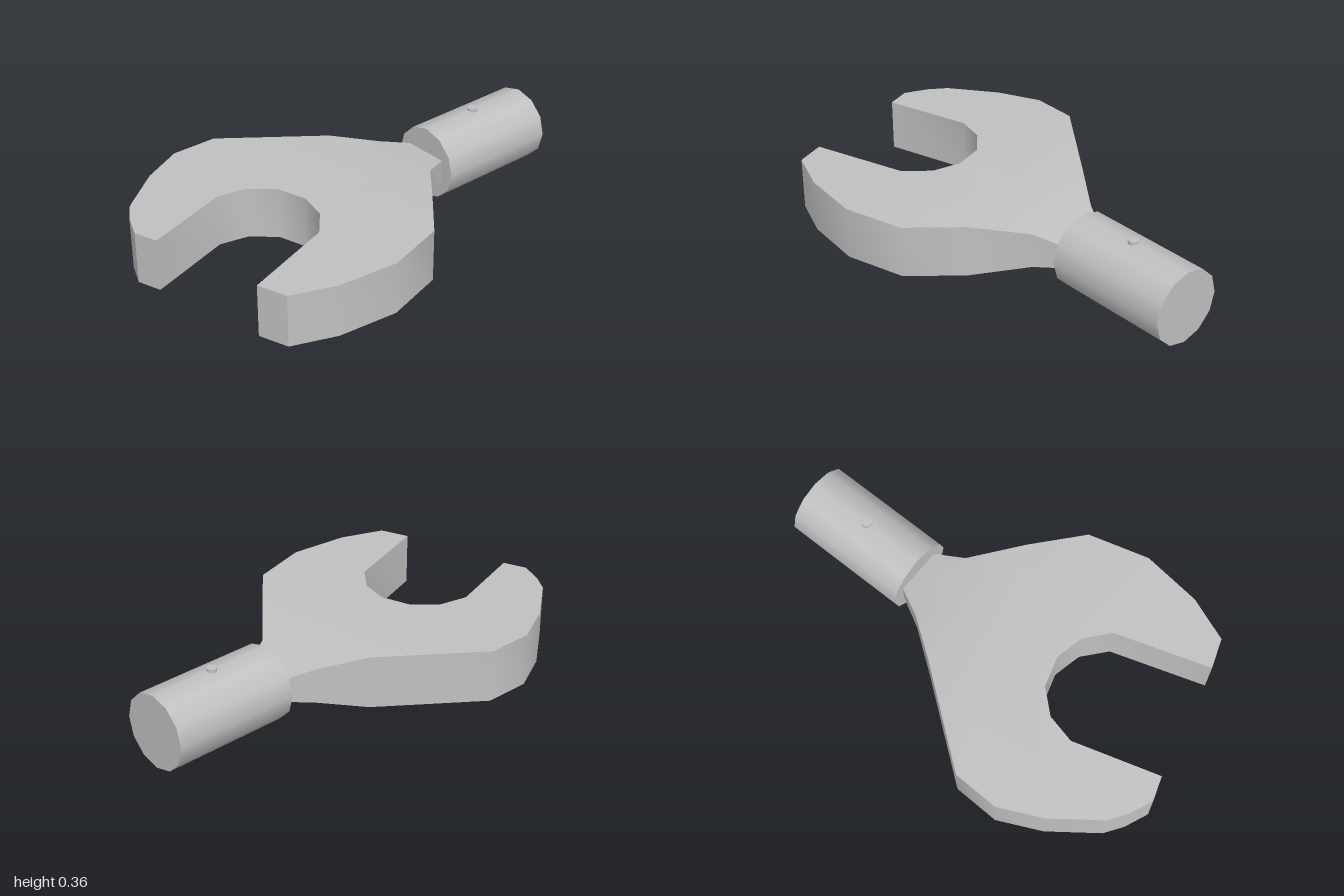
import * as THREE from 'three';
import { mergeGeometries, toCreasedNormals } from 'three/addons/utils/BufferGeometryUtils.js';

const MID = 0.18;      // height of the centre plane
const HALF = 0.12;     // half thickness of the jaws
const BEND = 0.11;     // x where the neck starts to thin
const NECK_END = 0.425;

// Vertical slab from an outline of [x, z] points
function slab(points) {
  const shape = new THREE.Shape(points.map(([x, z]) => new THREE.Vector2(x, -z)));
  const g = new THREE.ExtrudeGeometry(shape, { depth: HALF * 2, bevelEnabled: false });
  g.rotateX(-Math.PI / 2);
  g.translate(0, MID - HALF, 0);
  return g.toNonIndexed ? (g.index ? g.toNonIndexed() : g) : g;
}

// Open jaw and thinning neck as one skin
function wrenchHead() {
  const jaw = slab([
    [-1, -0.215], [-0.955, -0.32], [-0.9, -0.4], [-0.7, -0.55], [-0.51, -0.64], [-0.3, -0.635],
    [BEND, -0.32], [BEND, 0.355],
    [-0.07, 0.56], [-0.34, 0.635], [-0.61, 0.605], [-0.805, 0.53], [-0.85, 0.4],
    [-0.43, 0.265], [-0.34, 0.16], [-0.31, 0.03], [-0.35, -0.105], [-0.45, -0.195], [-0.58, -0.225],
    [-0.965, -0.11],
  ]);
  const neck = slab([
    [BEND, -0.32], [0.29, -0.19], [NECK_END, -0.12], [NECK_END, 0.085], [0.29, 0.15], [BEND, 0.355],
  ]);
  const p = mergeGeometries([jaw, neck]).attributes.position;

  // Drop the inner walls where jaw and neck meet, and thin the neck
  const kept = [];
  for (let i = 0; i < p.count; i += 3) {
    const corners = [i, i + 1, i + 2];
    if (corners.every((k) => Math.abs(p.getX(k) - BEND) < 1e-4)) continue;
    for (const k of corners) {
      const t = Math.max(0, (p.getX(k) - BEND) / (NECK_END - BEND));
      kept.push(p.getX(k), MID + (p.getY(k) - MID) * (1 - 0.575 * t), p.getZ(k));
    }
  }
  const g = new THREE.BufferGeometry();
  g.setAttribute('position', new THREE.Float32BufferAttribute(kept, 3));
  g.computeVertexNormals();
  return toCreasedNormals(g, THREE.MathUtils.degToRad(40));
}

export function createModel() {
  const group = new THREE.Group();
  group.name = 'wrenchHeadAttachment';
  const steel = new THREE.MeshStandardMaterial({ color: 0xc0c0c0 });
  steel.name = 'steel';

  const add = (name, geometry, x, y, z) => {
    const mesh = new THREE.Mesh(geometry, steel);
    mesh.name = name;
    mesh.position.set(x, y, z);
    group.add(mesh);
  };

  add('openJaw', wrenchHead(), 0, 0, 0);

  // Round twelve-sided shank along x
  const shank = new THREE.CylinderGeometry(0.168, 0.168, 0.582, 12);
  shank.rotateZ(-Math.PI / 2);
  add('shank', shank, 0.709, 0.182, -0.016);

  // Locking pin through the shank, showing above and below
  add('lockingPin', new THREE.CylinderGeometry(0.023, 0.023, 0.36, 12), 0.702, 0.18, -0.016);

  return group;
}
